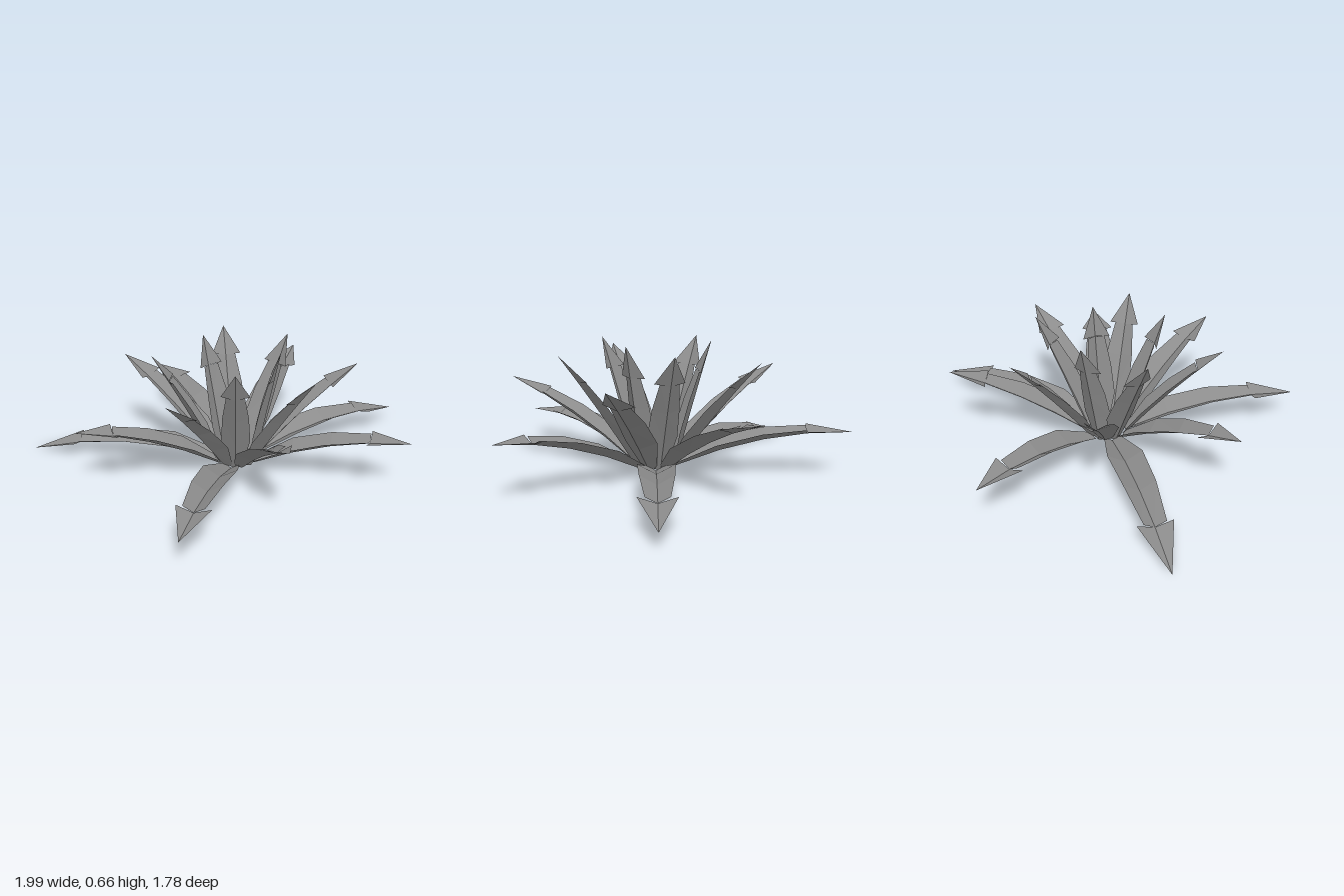
import * as THREE from 'three';

const LEAVES = 18;
const GOLDEN_ANGLE = 137.5;

// Leaf stations: [fraction along leaf, half width, edge lift above the midrib]
const SHAFT = [[0, 0.042, 0.022], [0.25, 0.09, 0.048], [0.5, 0.08, 0.045], [0.745, 0.055, 0.03]];
const HEAD = [[0.745, 0.088, 0.03], [1, 0, 0]];

// Folded strip: a low midrib with two raised edges, running out along +x
function leafSection(stations, path, scale) {
  const pos = [];
  const rows = stations.map(([t, w, lift]) => {
    const p = path(t);
    const dir = path(t + 0.01).sub(path(t - 0.01)).normalize();
    const up = new THREE.Vector3(-dir.y, dir.x, 0).multiplyScalar(lift * scale);
    const edge = (side) => p.clone().add(up).setZ(side * w * scale);
    return [edge(-1), p, edge(1)];
  });
  const tri = (...pts) => pts.forEach((v) => pos.push(v.x, v.y, v.z));
  for (let i = 0; i < rows.length - 1; i++) {
    const a = rows[i], b = rows[i + 1];
    const pointed = stations[i + 1][1] === 0;
    for (let k = 0; k < 2; k++) {
      tri(a[k], a[k + 1], b[k + 1]);
      if (pointed) {
        if (k === 0) continue;
        tri(a[0], a[1], b[1]);
        pos.splice(-9);
      } else {
        tri(a[k], b[k + 1], b[k]);
      }
    }
  }
  const geo = new THREE.BufferGeometry();
  geo.setAttribute('position', new THREE.Float32BufferAttribute(pos, 3));
  geo.computeVertexNormals();
  return geo;
}

export function createModel() {
  const model = new THREE.Group();
  model.name = 'rosettePlant';
  const leafGrey = new THREE.MeshStandardMaterial({ color: 0x8c8c8c, side: THREE.DoubleSide, flatShading: true });
  leafGrey.name = 'leafGrey';

  // Leaves spiral from the long drooping outer ones to the short upright inner ones
  for (let n = 0; n < LEAVES; n++) {
    const inner = n / (LEAVES - 1);
    const reach = 1.11 - 0.89 * inner;
    const tipY = 0.663 - 0.658 * Math.pow(1 - inner, 2.17);
    const droop = 0.26 * (reach / 1.11) ** 2;
    const scale = 1 - 0.2 * inner;
    const path = (t) => new THREE.Vector3(
      0.1 + (reach - 0.1) * t,
      0.045 + (tipY - 0.045) * t + droop * t * (1 - t),
      0
    );

    const leaf = new THREE.Group();
    leaf.name = `leaf${n + 1}`;
    for (const [name, stations] of [['leafBlade', SHAFT], ['leafTip', HEAD]]) {
      const mesh = new THREE.Mesh(leafSection(stations, path, scale), leafGrey);
      mesh.name = name;
      leaf.add(mesh);
    }
    leaf.rotation.y = -THREE.MathUtils.degToRad(182.5 + GOLDEN_ANGLE * n);
    leaf.position.set(0.11, 0, -0.11);
    model.add(leaf);
  }
  return model;
}
